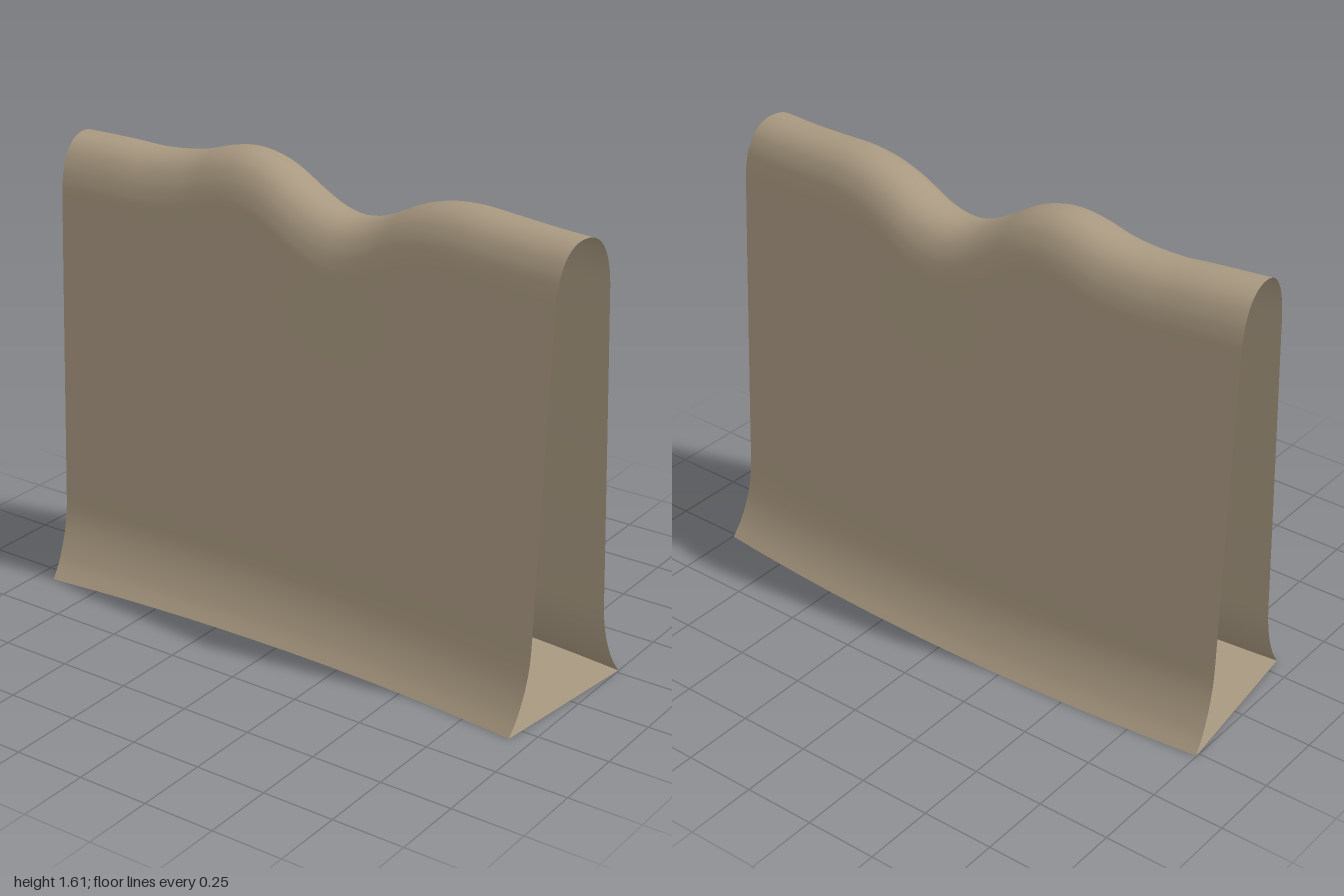
import * as THREE from 'three';

const RADIUS = 8.56;      // radius of the gentle bend, seen from above
const HALF_ANGLE = 0.113;
const MID_Z = -0.03;
const COLS = 64;

// Half cross-section from the flared foot to the crown: distance from the middle, height
const HALF = [
  [0.29, 0], [0.255, 0.05], [0.226, 0.11], [0.206, 0.17], [0.194, 0.23], [0.188, 0.31],
  [0.181, 0.46], [0.166, 0.77], [0.15, 1.1], [0.141, 1.28], [0.136, 1.38], [0.129, 1.43],
  [0.114, 1.48], [0.086, 1.525], [0.046, 1.552],
];

// Height of the crest along x
const crest = new THREE.SplineCurve([
  [-1, 1.558], [-0.8, 1.552], [-0.65, 1.545], [-0.5, 1.56], [-0.38, 1.594], [-0.28, 1.605],
  [-0.17, 1.578], [-0.05, 1.507], [0.04, 1.464], [0.13, 1.45], [0.23, 1.472],
  [0.35, 1.53], [0.45, 1.561], [0.56, 1.572], [0.7, 1.565], [0.85, 1.558], [1, 1.556],
].map(([x, y]) => new THREE.Vector2(x, y))).getPoints(200);

function crestHeight(x) {
  const i = crest.findIndex((p) => p.x >= x);
  if (i < 1) return i === 0 ? crest[0].y : crest.at(-1).y;
  const a = crest[i - 1], b = crest[i];
  return a.y + (b.y - a.y) * (x - a.x) / (b.x - a.x);
}

// Sweeps a cross-section (x = toward the front, y = height) along the bend
function sweep(section) {
  const pos = [], index = [], n = section.length;
  for (let i = 0; i <= COLS; i++) {
    const angle = HALF_ANGLE * (2 * i / COLS - 1);
    const rise = crestHeight(angle * RADIUS) - 1.56;
    for (const p of section) {
      const r = RADIUS - p.x;
      const y = p.y + rise * THREE.MathUtils.smoothstep(p.y, 0.95, 1.45);
      pos.push(r * Math.sin(angle), y, MID_Z + RADIUS - r * Math.cos(angle));
    }
  }
  for (let i = 0; i < COLS; i++) {
    for (let j = 0; j < n - 1; j++) {
      const a = i * n + j, b = a + n;
      index.push(a, b, a + 1, b, b + 1, a + 1);
    }
  }
  const g = new THREE.BufferGeometry();
  g.setAttribute('position', new THREE.Float32BufferAttribute(pos, 3));
  g.setIndex(index);
  g.computeVertexNormals();
  return g;
}

export function createModel() {
  const group = new THREE.Group();
  group.name = 'curvedWall';
  const material = new THREE.MeshStandardMaterial({ color: 0xa89880, side: THREE.DoubleSide });

  // Thin wall: up the front, over the rounded crown, down the back
  const front = HALF.map(([d, y]) => new THREE.Vector2(d, y));
  const back = HALF.map(([d, y]) => new THREE.Vector2(-d, y)).reverse();
  const profile = new THREE.SplineCurve([...front, new THREE.Vector2(0, 1.56), ...back]);
  const shell = new THREE.Mesh(sweep(profile.getPoints(120)), material);
  shell.name = 'shell';

  // Flat underside joining the two flared feet
  const floor = new THREE.Mesh(
    sweep([new THREE.Vector2(-0.29, 0), new THREE.Vector2(0.29, 0)]), material);
  floor.name = 'floor';

  group.add(shell, floor);
  return group;
}
